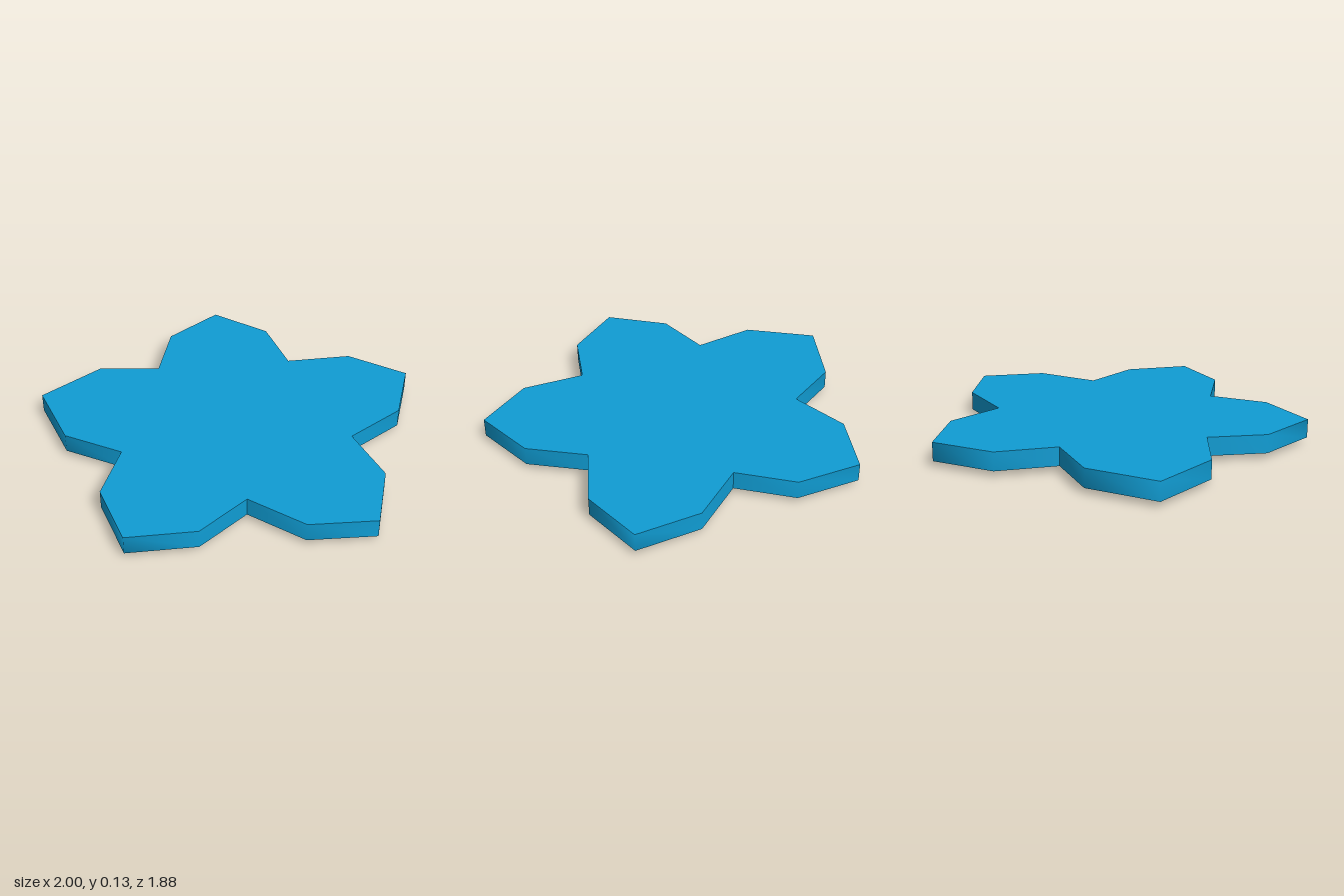
import * as THREE from 'three';
import { toCreasedNormals } from 'three/addons/utils/BufferGeometryUtils.js';

export function createModel() {
  const model = new THREE.Group();
  model.name = 'flowerPlate';

  const blue = new THREE.MeshStandardMaterial({ color: 0x109dd4 });
  blue.name = 'azure blue';
  const grey = new THREE.MeshStandardMaterial({ color: 0xdcdcdc });
  grey.name = 'light grey';

  // Five petals: outline as [x, z], starting at the back tip
  const outline = [
    [0.01, -0.94], [0.285, -0.73], [0.37, -0.415],
    [0.715, -0.425], [1, -0.225], [0.885, 0.105], [0.595, 0.295],
    [0.705, 0.605], [0.605, 0.94], [0.26, 0.93], [0, 0.72],
    [-0.25, 0.92], [-0.605, 0.925], [-0.705, 0.59], [-0.59, 0.295],
    [-0.875, 0.13], [-1, -0.235], [-0.68, -0.455], [-0.36, -0.42],
    [-0.27, -0.735],
  ];
  const shape = new THREE.Shape(outline.map(([x, z]) => new THREE.Vector2(x, -z)));
  const slab = new THREE.ExtrudeGeometry(shape, { depth: 0.1, bevelEnabled: false });
  slab.rotateX(-Math.PI / 2);

  // Petal corners are shaded smoothly, only the notches and rims stay sharp
  const petals = new THREE.Mesh(toCreasedNormals(slab, THREE.MathUtils.degToRad(75.5)), blue);
  petals.name = 'petals';
  petals.position.y = 0.03;
  model.add(petals);

  // Six-sided pad under the flower, slightly off centre
  const padGeometry = new THREE.CylinderGeometry(
    0.346, 0.346, 0.03, 6, 1, false, THREE.MathUtils.degToRad(24));
  const pad = new THREE.Mesh(padGeometry, grey);
  pad.name = 'basePad';
  pad.position.set(0.012, 0.015, 0.09);
  model.add(pad);

  return model;
}
